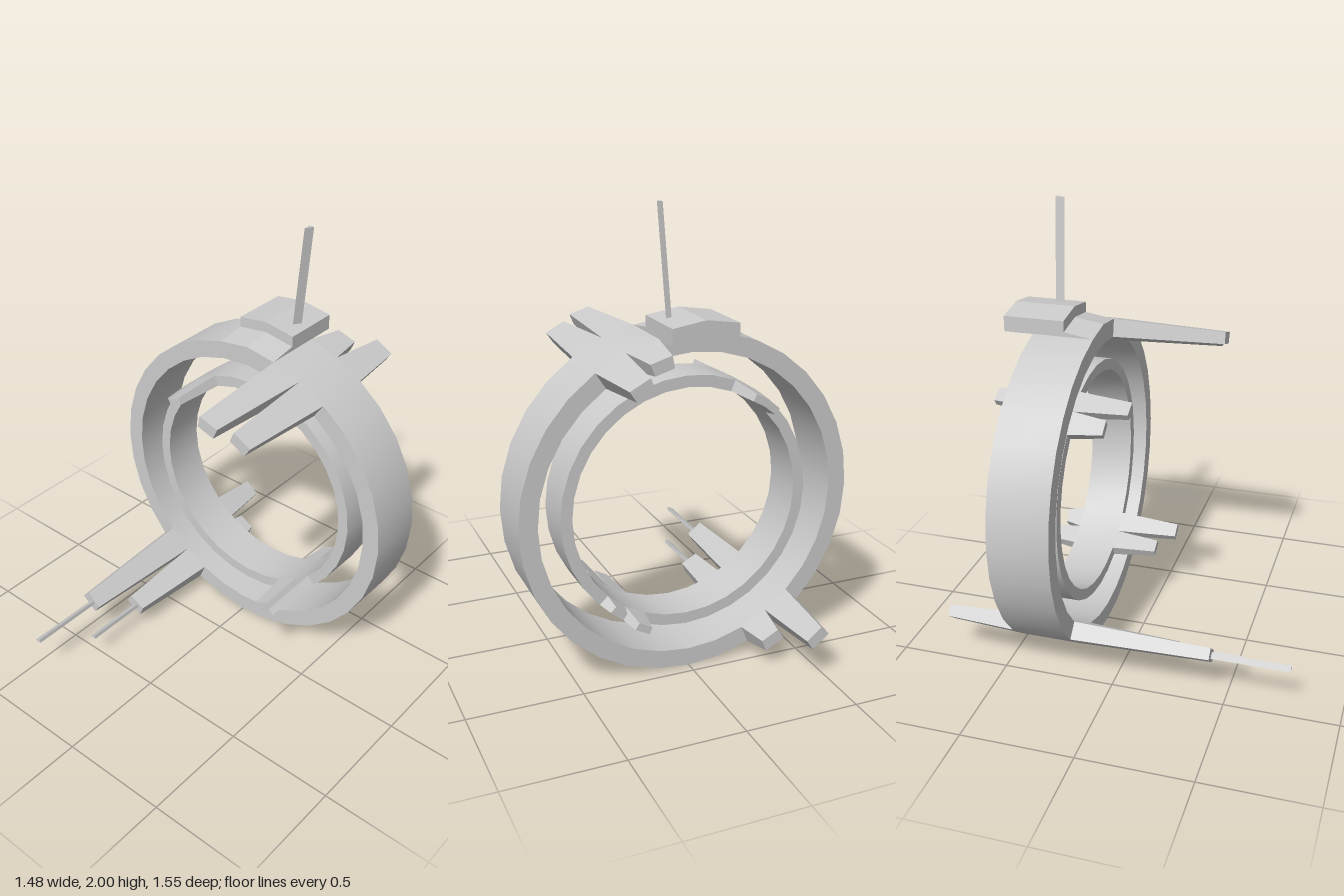
import * as THREE from 'three';
import { toCreasedNormals } from 'three/addons/utils/BufferGeometryUtils.js';

const CY = 0.744;              // height of the ring axis
const STEP = Math.PI / 16;     // one of 32 ring segments
const OUTER = { ri: 0.66, ro: 0.74, z0: -0.45, z1: -0.18 };
const INNER = { ri: 0.505, ro: 0.555, z0: -0.415, z1: -0.215 };
const material = new THREE.MeshStandardMaterial({ color: 0xcccccc });

// Capped loft through cross-sections of [x, y, z] points, counterclockwise
// when seen from the end of the path.
function loft(sections) {
  const pos = [];
  const tri = (a, b, c) => pos.push(...a, ...b, ...c);
  const n = sections[0].length;
  for (let i = 0; i < sections.length - 1; i++) {
    const s = sections[i], t = sections[i + 1];
    for (let j = 0; j < n; j++) {
      const k = (j + 1) % n;
      tri(s[j], s[k], t[k]);
      tri(s[j], t[k], t[j]);
    }
  }
  const first = sections[0], last = sections[sections.length - 1];
  for (let j = 1; j < n - 1; j++) {
    tri(first[0], first[j + 1], first[j]);
    tri(last[0], last[j], last[j + 1]);
  }
  const g = new THREE.BufferGeometry();
  g.setAttribute('position', new THREE.Float32BufferAttribute(pos, 3));
  g.computeVertexNormals();
  return g;
}

function add(parent, name, geometry) {
  const mesh = new THREE.Mesh(geometry, material);
  mesh.name = name;
  parent.add(mesh);
  return mesh;
}

const atZ = (points, z) => points.map(([x, y]) => [x, y, z]);

// Rectangular ring around the z axis
function ringGeometry({ ri, ro, z0, z1 }) {
  const profile = [[ri, z0], [ro, z0], [ro, z1], [ri, z1], [ri, z0]].map(p => new THREE.Vector2(...p));
  const g = new THREE.LatheGeometry(profile, 32).rotateX(Math.PI / 2).translate(0, CY, 0);
  return toCreasedNormals(g, 0.5);
}

// Tapered pylon continuing ring segment number seg (clockwise from the top)
function addPylon(parent, ring, seg, front, back, rodEnd) {
  const corner = (r, s) => [r * Math.sin(s * STEP), CY + r * Math.cos(s * STEP)];
  const base = [corner(ring.ri, seg), corner(ring.ri, seg + 1), corner(ring.ro, seg + 1), corner(ring.ro, seg)];
  const cx = base.reduce((sum, p) => sum + p[0], 0) / 4;
  const cy = base.reduce((sum, p) => sum + p[1], 0) / 4;
  const tip = base.map(([x, y]) => [cx + (x - cx) * 0.65, cy + (y - cy) * 0.65]);
  const group = new THREE.Group();
  group.name = 'pylon';
  parent.add(group);
  add(group, 'frontPylon', loft([atZ(base, ring.z1), atZ(tip, front)]));
  add(group, 'backPylon', loft([atZ(tip, back), atZ(base, ring.z0)]));
  if (rodEnd) {
    const rod = [[cx - 0.016, cy - 0.008], [cx + 0.016, cy - 0.008], [cx + 0.012, cy + 0.008]];
    add(group, 'rod', loft([atZ(rod, front - 0.02), atZ(rod, rodEnd)]));
  }
}

export function createModel() {
  const model = new THREE.Group();
  model.name = 'ringStation';

  add(model, 'outerRing', ringGeometry(OUTER));
  add(model, 'innerRing', ringGeometry(INNER));

  // Pylons: ring, segment, front z, back z, end of rod
  [
    [OUTER, 1, 0.32, -0.63],
    [OUTER, 2, 0.27, -0.74],
    [OUTER, 18, 0.25, -0.595, 0.54],
    [OUTER, 19, 0.43, -0.775, 0.775],
    [INNER, -3, 0.015, -0.58],
    [INNER, -4, -0.07, -0.51],
    [INNER, 12, 0.07, -0.49],
    [INNER, 13, -0.01, -0.55],
  ].forEach(args => addPylon(model, ...args));

  // Arched housing on top of the outer ring, with a ramp in front
  const w = 0.144;
  const arch = (top, z) => atZ([[0, top], [-w, top - 0.022], [-w, 1.469], [0, 1.483], [w, 1.469], [w, top - 0.022]], z);
  add(model, 'housing', loft([arch(1.56, -0.58), arch(1.56, -0.31)]));
  add(model, 'ramp', loft([arch(1.512, -0.31), arch(1.492, -0.18)]));

  // Leaning three-sided mast
  const mast = (x, y) => [[x + 0.012, y, -0.427], [x - 0.012, y, -0.427], [x - 0.008, y, -0.388]];
  add(model, 'mast', loft([mast(0.092, 1.53), mast(0.133, 2)]));

  return model;
}
